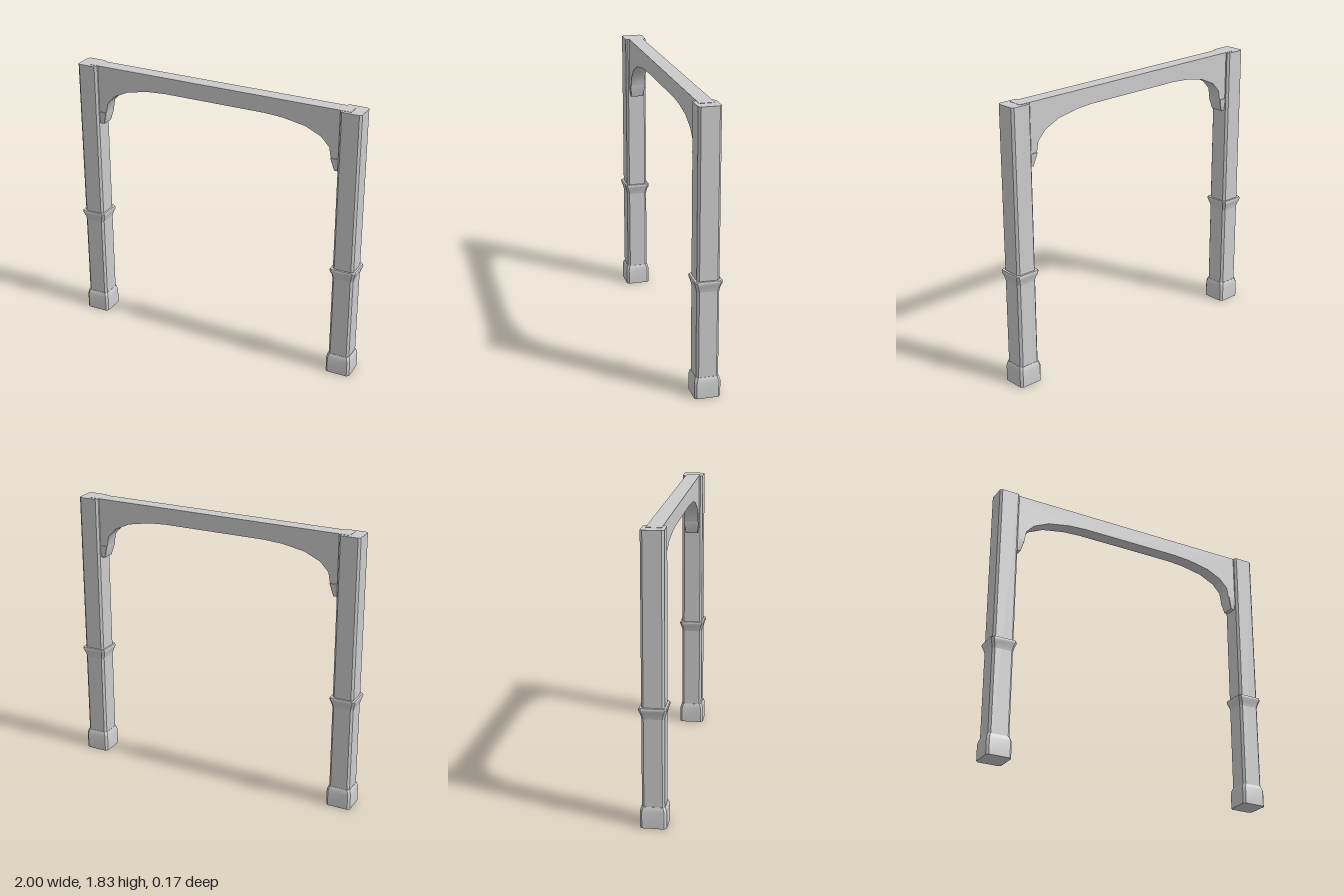
import * as THREE from 'three';
import { toCreasedNormals } from 'three/addons/utils/BufferGeometryUtils.js';

const material = new THREE.MeshStandardMaterial({ color: 0xcccccc });

// Stack of chamfered squares; each ring is [y, halfWidthX, halfDepthZ, chamfer, xOffset]
function loft(rings) {
  const pos = [], index = [], n = 8;
  for (const [y, w, d, c, ox = 0] of rings) {
    const ring = [[w, d - c], [w - c, d], [c - w, d], [-w, d - c], [-w, c - d], [c - w, -d], [w - c, -d], [w, c - d]];
    for (const [x, z] of ring) pos.push(x + ox, y, z);
  }
  for (let r = 0; r < rings.length - 1; r++) {
    for (let i = 0; i < n; i++) {
      const a = r * n + i, b = r * n + (i + 1) % n;
      index.push(a, a + n, b, b, a + n, b + n);
    }
  }
  // End caps
  const top = (rings.length - 1) * n;
  for (let i = 1; i < n - 1; i++) {
    index.push(0, i, i + 1);
    index.push(top, top + i + 1, top + i);
  }
  const g = new THREE.BufferGeometry();
  g.setAttribute('position', new THREE.Float32BufferAttribute(pos, 3));
  g.setIndex(index);
  return toCreasedNormals(g, 0.6);
}

const squareLoft = (profile, chamfer) => loft(profile.map(([y, h]) => [y, h, h, chamfer]));

function part(name, geometry) {
  const mesh = new THREE.Mesh(geometry, material);
  mesh.name = name;
  return mesh;
}

function createPost(side) {
  const post = new THREE.Group();
  post.name = side > 0 ? 'leftPost' : 'rightPost';
  post.add(part('shaft', squareLoft([[0.01, 0.07], [1.828, 0.07]], 0.014)));
  post.add(part('base', squareLoft([[0, 0.082], [0.105, 0.082], [0.125, 0.077], [0.137, 0.072], [0.137, 0.069]], 0.014)));
  post.add(part('collar', squareLoft(
    [[0.69, 0.069], [0.708, 0.072], [0.728, 0.077], [0.749, 0.085], [0.759, 0.086], [0.767, 0.083], [0.767, 0.069]], 0.014)));
  post.position.x = side * 0.914;
  return post;
}

// Beam with an arched underside reaching down to the brackets
function createBeam() {
  const half = [[0.35, 1.722], [0.47, 1.714], [0.62, 1.686], [0.725, 1.637], [0.78, 1.578], [0.794, 1.505], [0.86, 1.505], [0.91, 1.83]];
  const outline = [...half, ...half.map(([x, y]) => [-x, y]).reverse()];
  const shape = new THREE.Shape(outline.map(([x, y]) => new THREE.Vector2(x, y)));
  const g = new THREE.ExtrudeGeometry(shape, { depth: 0.094, bevelEnabled: false });
  g.translate(0, 0, -0.047);
  return part('archedBeam', toCreasedNormals(g, 0.6));
}

// Tapered foot under each end of the arch
function createBracket(side) {
  return part(side > 0 ? 'leftBracketFoot' : 'rightBracketFoot', loft([
    [1.428, 0.022, 0.042, 0.002, side * 0.837],
    [1.505, 0.033, 0.053, 0.002, side * 0.826],
    [1.511, 0.033, 0.053, 0.002, side * 0.826],
  ]));
}

export function createModel() {
  const model = new THREE.Group();
  model.name = 'archway';
  model.add(createBeam());
  for (const side of [-1, 1]) model.add(createPost(side), createBracket(side));
  return model;
}
